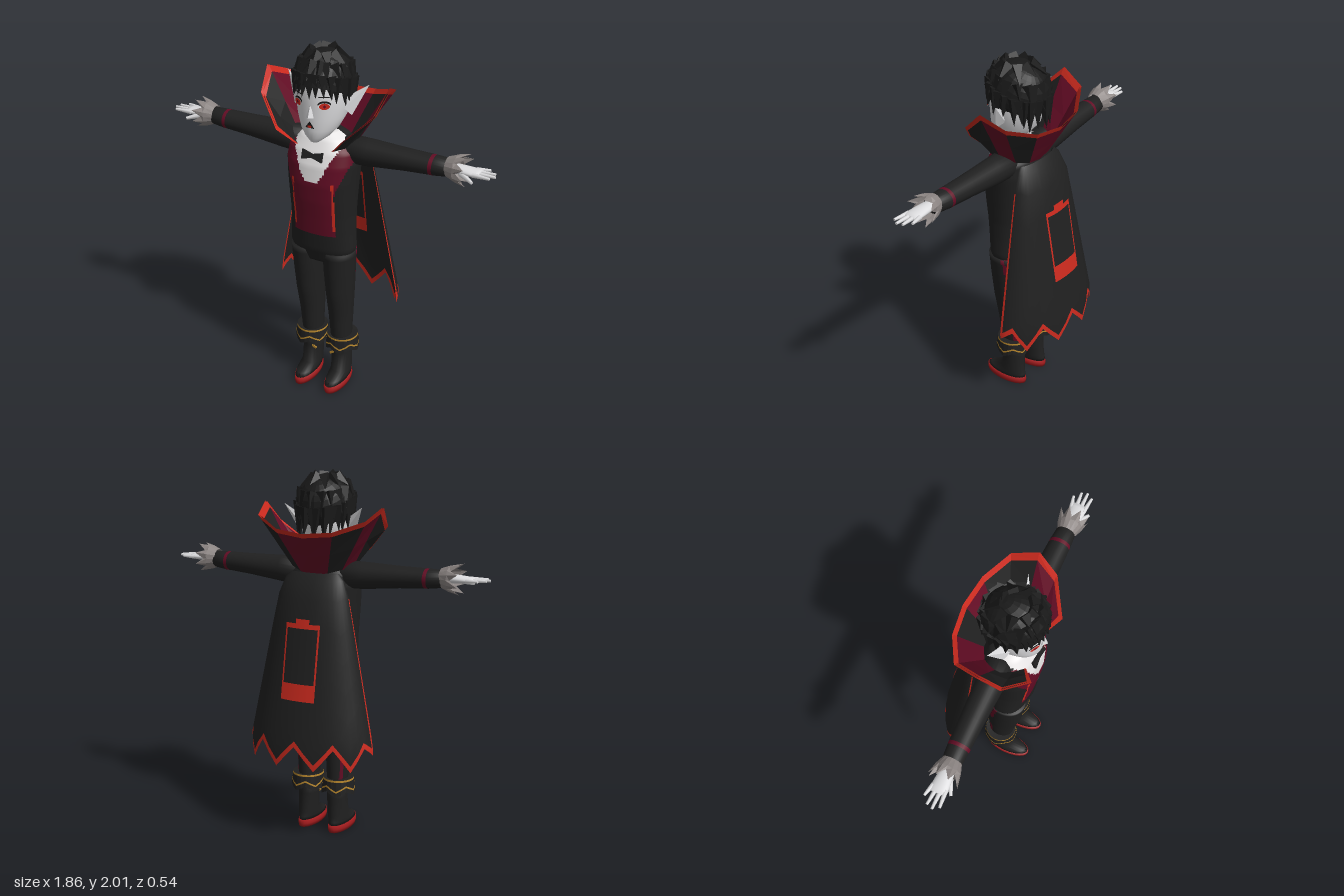
import * as THREE from 'three';

const mat = (name, color) => {
  const m = new THREE.MeshStandardMaterial({ color, side: THREE.DoubleSide });
  m.name = name;
  return m;
};
const black = mat('black cloth', 0x202020), hairBlack = mat('hair black', 0x191919);
const wine = mat('wine cloth', 0x620c24), red = mat('red trim', 0xcc2a1e), sole = mat('sole red', 0xa01a1c);
const skin = mat('pale skin', 0xdcdcde), shirt = mat('shirt white', 0xeae8e8);
const grey = mat('cuff grey', 0x8c8583), gold = mat('gold', 0xb5852c);

const V = (x, y, z) => new THREE.Vector3(x, y, z);
const lerp = THREE.MathUtils.lerp;

// Grid surface through rows of points; rule(centre, row, column) picks a material index
function sheet(rows, { closed = false, flat = false, rule = () => 0 } = {}) {
  const n = rows[0].length, cols = closed ? n : n - 1, sets = [], c = V(0, 0, 0);
  for (let i = 0; i < rows.length - 1; i++) for (let j = 0; j < cols; j++) {
    const k = (j + 1) % n, a = i * n + j, b = i * n + k, d = a + n, e = b + n;
    c.copy(rows[i][j]).add(rows[i][k]).add(rows[i + 1][j]).add(rows[i + 1][k]).multiplyScalar(0.25);
    const r = rule(c, i, j);
    (sets[r] ??= []).push(a, d, b, b, d, e);
  }
  let g = new THREE.BufferGeometry().setFromPoints(rows.flat());
  g.setIndex(sets.flat());
  let start = 0;
  sets.forEach((s, m) => { g.addGroup(start, s.length, m); start += s.length; });
  if (flat) g = g.toNonIndexed();
  g.computeVertexNormals();
  return g;
}

// Capped body from sections [height, centre x, centre z, radius x, radius z]
function loft(sections, { n = 24, sub = 1, pow = 1, rule } = {}) {
  const rows = [], bend = v => Math.sign(v) * Math.abs(v) ** pow;
  const ring = ([y, cx, cz, rx, rz]) => Array.from({ length: n }, (_, j) => {
    const a = j / n * Math.PI * 2;
    return V(cx + rx * bend(Math.cos(a)), y, cz + rz * bend(Math.sin(a)));
  });
  sections.forEach((s, i) => {
    const next = sections[i + 1];
    for (let k = 0; k < (next ? sub : 1); k++) rows.push(ring(next ? s.map((v, q) => lerp(v, next[q], k / sub)) : s));
  });
  const cap = ([y, cx, cz]) => ring([y, cx, cz, 0, 0]);
  return sheet([cap(sections[0]), ...rows, cap(sections.at(-1))], { closed: true, rule });
}

function mirror(geo) {
  const g = geo.clone().applyMatrix4(new THREE.Matrix4().makeScale(-1, 1, 1));
  const idx = g.index ? Array.from(g.index.array) : Array.from({ length: g.attributes.position.count }, (_, i) => i);
  for (let i = 0; i < idx.length; i += 3) [idx[i], idx[i + 1]] = [idx[i + 1], idx[i]];
  return g.setIndex(idx);
}

// Tapered piece from one point to another
function spike(from, to, r0, r1 = 0, sides = 4, squash = 1) {
  const d = to.clone().sub(from);
  const g = new THREE.CylinderGeometry(r1, r0, d.length(), sides).scale(1, 1, squash);
  g.applyQuaternion(new THREE.Quaternion().setFromUnitVectors(V(0, 1, 0), d.normalize()));
  const m = from.clone().add(to).multiplyScalar(0.5);
  return (sides < 6 ? g.toNonIndexed() : g).translate(m.x, m.y, m.z);
}

export function createModel() {
  const model = new THREE.Group();
  const add = (name, geo, material) => {
    if (sideNormalsMissing(geo)) geo.computeVertexNormals();
    const m = new THREE.Mesh(geo, material);
    m.name = name;
    model.add(m);
  };
  const pair = (name, geo, material) => { add('left' + name, geo, material); add('right' + name, mirror(geo), material); };

  // Torso with vest, shirt front and piping
  const suit = ({ x, y, z }) => {
    const ax = Math.abs(x);
    if (z < 0.1 && !(y > 1.5 && z > 0.07)) return 0;
    if (y > 1.31 && ax < 0.035 + (y - 1.31) * 0.5) return 2;
    if (y > 1.03 && y < 1.31 && Math.abs(ax - 0.115) < 0.006) return 3;
    return y > 1.0 && y < 1.5 && ax < 0.12 + Math.max(0, y - 1.25) * 0.4 ? 1 : 0;
  };
  add('torso', loft([[0.82, 0, 0.095, 0.16, 0.09], [0.9, 0, 0.1, 0.185, 0.108], [1, 0, 0.1, 0.18, 0.118],
    [1.1, 0, 0.1, 0.178, 0.128], [1.2, 0, 0.1, 0.183, 0.14], [1.3, 0, 0.098, 0.19, 0.148], [1.4, 0, 0.09, 0.198, 0.145],
    [1.47, 0, 0.08, 0.19, 0.13], [1.53, 0, 0.075, 0.13, 0.1], [1.56, 0, 0.07, 0.07, 0.07]],
  { n: 120, sub: 6, pow: 0.85, rule: suit }), [black, wine, shirt, red]);
  const bow = new THREE.Shape([[-0.058, 0.026], [0, 0.01], [0.058, 0.026], [0.058, -0.026], [0, -0.01], [-0.058, -0.026]]
    .map(p => new THREE.Vector2(...p)));
  add('bowTie', new THREE.ExtrudeGeometry(bow, { depth: 0.015, bevelEnabled: false }).rotateX(-0.3).translate(0, 1.455, 0.216), black);

  // Head
  add('neck', new THREE.CylinderGeometry(0.058, 0.065, 0.16, 20).translate(0, 1.56, 0.08), skin);
  add('head', loft([[1.53, 0, 0.19, 0.025, 0.025], [1.56, 0, 0.16, 0.065, 0.07], [1.6, 0, 0.13, 0.098, 0.108],
    [1.66, 0, 0.105, 0.125, 0.134], [1.74, 0, 0.095, 0.14, 0.144], [1.82, 0, 0.09, 0.143, 0.148],
    [1.91, 0, 0.09, 0.12, 0.13], [1.96, 0, 0.09, 0.06, 0.08]], { n: 32 }), skin);
  add('nose', spike(V(0, 1.675, 0.243), V(0, 1.75, 0.234), 0.022), skin);
  const disc = (r, sx, sy, y, off) => new THREE.CircleGeometry(r, 16).scale(sx, sy, 1)
    .translate(0, 0, off).rotateY(0.54).translate(0.07, y, 0.22);
  pair('Lash', disc(0.034, 1, 0.5, 1.752, 0.005), hairBlack);
  pair('EyeWhite', disc(0.033, 1, 0.5, 1.743, 0.007), shirt);
  pair('Iris', disc(0.027, 1, 0.62, 1.742, 0.009), red);
  pair('Pupil', disc(0.007, 1, 1, 1.742, 0.011), wine);
  pair('Brow', disc(0.034, 1, 0.1, 1.79, 0.005), hairBlack);
  add('mouth', new THREE.CircleGeometry(0.03, 3).rotateZ(Math.PI / 2).scale(1, 0.8, 1).translate(0, 1.632, 0.245), hairBlack);
  add('tongue', new THREE.CircleGeometry(0.012, 8).scale(1, 0.6, 1).translate(0, 1.628, 0.247), red);
  pair('Ear', spike(V(0.125, 1.7, 0.1), V(0.232, 1.825, 0.05), 0.05, 0, 4, 0.5), skin);

  // Hair: tilted cap with layers of pointed locks
  let seed = 7;
  const rnd = () => (seed = seed * 16807 % 2147483647) / 2147483647 - 0.5;
  add('hairCap', new THREE.SphereGeometry(1, 22, 10, 0, Math.PI * 2, 0, Math.PI * 0.6).rotateX(-0.45)
    .scale(0.152, 0.162, 0.172).translate(0, 1.825, 0.09).toNonIndexed(), hairBlack);
  const onHair = (a, y, k) => {
    const r = k * Math.sqrt(Math.max(0.05, 1 - (Math.min(1, Math.max(0, y - 1.825) / 0.165)) ** 2));
    return V(Math.sin(a) * 0.152 * r, y, 0.09 + Math.cos(a) * 0.172 * r);
  };
  const layers = [[26, 1.9, 1.82, 1.785, 1.65, 0.036, 1], [18, 1.95, 1.9, 1.86, 1.76, 0.036, 1.05], [9, 1.975, 1.975, 1.94, 1.92, 0.035, 1.12]];
  for (const [count, f0, b0, f1, b1, r, out] of layers) for (let i = 0; i < count; i++) {
    const a = i / count * Math.PI * 2 + rnd() * 0.15, k = (1 - Math.cos(a)) / 2;
    const tip = onHair(a + rnd() * 0.3, lerp(f1, b1, k) + rnd() * 0.035, out);
    add('hairLock', spike(onHair(a, lerp(f0, b0, k), 0.9), tip, r), hairBlack);
  }

  // Sleeves, cuffs and hands
  const lay = g => g.rotateZ(-Math.PI / 2);
  pair('Sleeve', lay(loft([[0.12, -1.465, 0.068, 0.075, 0.08], [0.25, -1.467, 0.066, 0.072, 0.073], [0.45, -1.475, 0.068, 0.058, 0.063],
    [0.59, -1.48, 0.07, 0.052, 0.058], [0.61, -1.48, 0.07, 0.052, 0.057], [0.7, -1.485, 0.072, 0.044, 0.05]],
  { rule: ({ y }) => y > 0.59 && y < 0.61 ? 1 : 0 })), [black, wine]);
  const cuffRing = (x, r, tipX, tipR) => Array.from({ length: 16 }, (_, i) => {
    const a = i / 16 * Math.PI * 2, R = i % 2 ? tipR : r;
    return V(i % 2 ? tipX : x, 1.49 + R * Math.cos(a), 0.073 + R * Math.sin(a));
  });
  pair('Cuff', sheet([cuffRing(0.675, 0.05, 0.675, 0.05), cuffRing(0.72, 0.066, 0.725, 0.07), cuffRing(0.74, 0.063, 0.785, 0.083)],
    { closed: true, flat: true }), grey);
  pair('Palm', lay(loft([[0.68, -1.49, 0.073, 0.024, 0.03], [0.76, -1.49, 0.075, 0.022, 0.04], [0.83, -1.49, 0.075, 0.016, 0.046], [0.85, -1.49, 0.075, 0.012, 0.042]])), skin);
  for (const [z0, x1, z1] of [[0.04, 0.885, 0.025], [0.063, 0.92, 0.056], [0.086, 0.93, 0.087], [0.108, 0.91, 0.118]])
    pair('Finger', spike(V(0.82, 1.49, z0), V(x1, 1.493, z1), 0.013, 0.007, 8), skin);
  pair('Thumb', spike(V(0.76, 1.48, 0.1), V(0.83, 1.462, 0.138), 0.017, 0.008, 8), skin);

  // Legs with side stripe
  pair('Leg', loft([[0.28, 0.09, 0.065, 0.055, 0.07], [0.45, 0.09, 0.072, 0.065, 0.083], [0.6, 0.092, 0.085, 0.074, 0.098],
    [0.75, 0.093, 0.095, 0.084, 0.102], [0.88, 0.095, 0.1, 0.09, 0.105]], { n: 60, sub: 4, rule: ({ x, y, z }) =>
    x > 0.09 && Math.abs(z - 0.02 - Math.max(0, y - 0.6) * 0.17) < 0.01 && (y < 0.43 || y > 0.62) ? 1 : 0 }), [black, wine]);

  // Boots
  pair('Boot', loft([[0.04, 0.095, 0.115, 0.054, 0.132], [0.06, 0.095, 0.105, 0.054, 0.12], [0.085, 0.093, 0.07, 0.055, 0.075],
    [0.2, 0.09, 0.062, 0.056, 0.064], [0.31, 0.09, 0.065, 0.066, 0.074]]), black);
  pair('Sole', loft([[0, 0.095, 0.115, 0.055, 0.133], [0.02, 0.095, 0.115, 0.06, 0.136], [0.042, 0.095, 0.115, 0.056, 0.133]]), sole);
  const bootRing = (y, rx, rz, drop = 0) => Array.from({ length: 20 }, (_, i) => {
    const a = i / 20 * Math.PI * 2;
    return V(0.096 + rx * Math.cos(a), y - (i % 4 === 0 ? drop : i % 4 === 2 ? 0 : drop / 2), 0.065 + rz * Math.sin(a));
  });
  pair('BootCuff', sheet([bootRing(0.25, 0.095, 0.098, 0.03), bootRing(0.306, 0.088, 0.09), bootRing(0.317, 0.087, 0.089), bootRing(0.315, 0.05, 0.06)],
    { closed: true, flat: true, rule: (c, i) => i === 1 ? 1 : 0 }), [black, gold]);
  pair('BootBraid', sheet([bootRing(0.275, 0.0945, 0.097, 0.03), bootRing(0.285, 0.0935, 0.096, 0.03)],
    { closed: true, flat: true }), gold);
  pair('BootClasp', new THREE.BoxGeometry(0.035, 0.012, 0.008).rotateZ(0.6).translate(0.06, 0.195, 0.118), gold);

  // Cape: [height, half width, edge z, depth], ending in a zigzag hem
  const capeRows = [[1.48, 0.14, -0.03, 0.035], [1.44, 0.18, -0.04, 0.06], [1.35, 0.21, -0.045, 0.105], [0.57, 0.365, -0.06, 0.22]];
  const capeAt = y => {
    let i = 0;
    while (i < 2 && y < capeRows[i + 1][0]) i++;
    const a = capeRows[i], b = capeRows[i + 1], t = (y - a[0]) / (b[0] - a[0]);
    return a.map((v, k) => lerp(v, b[k], Math.max(0, t > 1 ? 1 : t)));
  };
  const turns = [0, 3.5, ...Array.from({ length: 19 }, (_, i) => 9 + i * 9), 176.5].filter(t => t < 180).sort((a, b) => a - b).concat(180);
  const hem = deg => {
    const d = Math.min(deg, 180 - deg), k = Math.abs((d / 36) % 1 - 0.5) * 2;
    return lerp(0.575, d < 18 ? 0.52 : 0.45, k);
  };
  const capeLevels = [0, 0.035, 0.13, 0.3, 0.45, 0.6, 0.75, 0.88, 0.965, 1];
  add('cape', sheet(capeLevels.map(s => turns.map(deg => {
    const y = lerp(1.48, hem(deg), s), [, w, z, d] = capeAt(y), a = THREE.MathUtils.degToRad(deg);
    return V(w * Math.cos(a), y, z - d * Math.sin(a));
  })), { rule: (c, i, j) => i === capeLevels.length - 2 || (i > 1 && (j === 0 || j === turns.length - 2)) ? 1 : 0 }), [black, red]);

  // Emblem frame on both faces of the cape
  const patch = (x0, x1, y0, y1) => {
    for (const off of [-0.006, 0.006]) add('capeEmblem', sheet([0, 0.25, 0.5, 0.75, 1].map(s => [0, 0.2, 0.4, 0.6, 0.8, 1].map(t => {
      const x = lerp(x0, x1, t), y = lerp(y0, y1, s), [, w, z, d] = capeAt(y);
      return V(x, y, z - d * Math.sqrt(1 - (x / w) ** 2) + off);
    }))), red);
  };
  patch(-0.1, 0.1, 0.82, 0.91);
  patch(-0.1, 0.1, 1.2, 1.225);
  patch(-0.1, -0.09, 0.9, 1.2);
  patch(0.09, 0.1, 0.9, 1.2);
  patch(-0.04, 0.04, 1.22, 1.25);

  // Standing collar: half rim and half base, mirrored, with panels and red edging
  const rim = [[0.185, 1.58, 0.265], [0.33, 1.72, 0.165], [0.355, 1.83, 0.055], [0.32, 1.77, -0.08], [0.17, 1.715, -0.165], [0, 1.7, -0.19]];
  const base = [[0.1, 1.49, 0.2], [0.15, 1.5, 0.15], [0.17, 1.5, 0.07], [0.15, 1.5, -0.01], [0.08, 1.48, -0.045], [0, 1.47, -0.05]];
  const around = half => [...half.map(([x, y, z]) => V(-x, y, z)), ...half.slice(0, -1).reverse().map(p => V(...p))];
  const edged = pts => [pts[0], pts[0].clone().lerp(pts[1], 0.14), ...pts.slice(1, -1), pts.at(-1).clone().lerp(pts.at(-2), 0.14), pts.at(-1)];
  const top = edged(around(rim)), low = edged(around(base));
  const collar = (name, panels, k) => add(name, sheet([0, 0.45, 0.9, 1].map(s => top.map((p, j) => {
    const q = low[j].clone().lerp(p, s);
    return V(q.x * k, q.y, 0.06 + (q.z - 0.06) * k);
  })), { flat: true, rule: (c, i, j) => i === 2 || j === 0 || j === 11 ? 2 : panels[j - 1] }), [black, wine, red]);
  collar('collarOutside', [0, 0, 1, 0, 1, 1, 0, 1, 0, 0], 1);
  collar('collarLining', [0, 0, 1, 1, 0, 1, 0, 0, 1, 1], 0.97);

  return model;
}

function sideNormalsMissing(geo) {
  // Faceted pieces need one normal per face
  return !geo.index;
}
